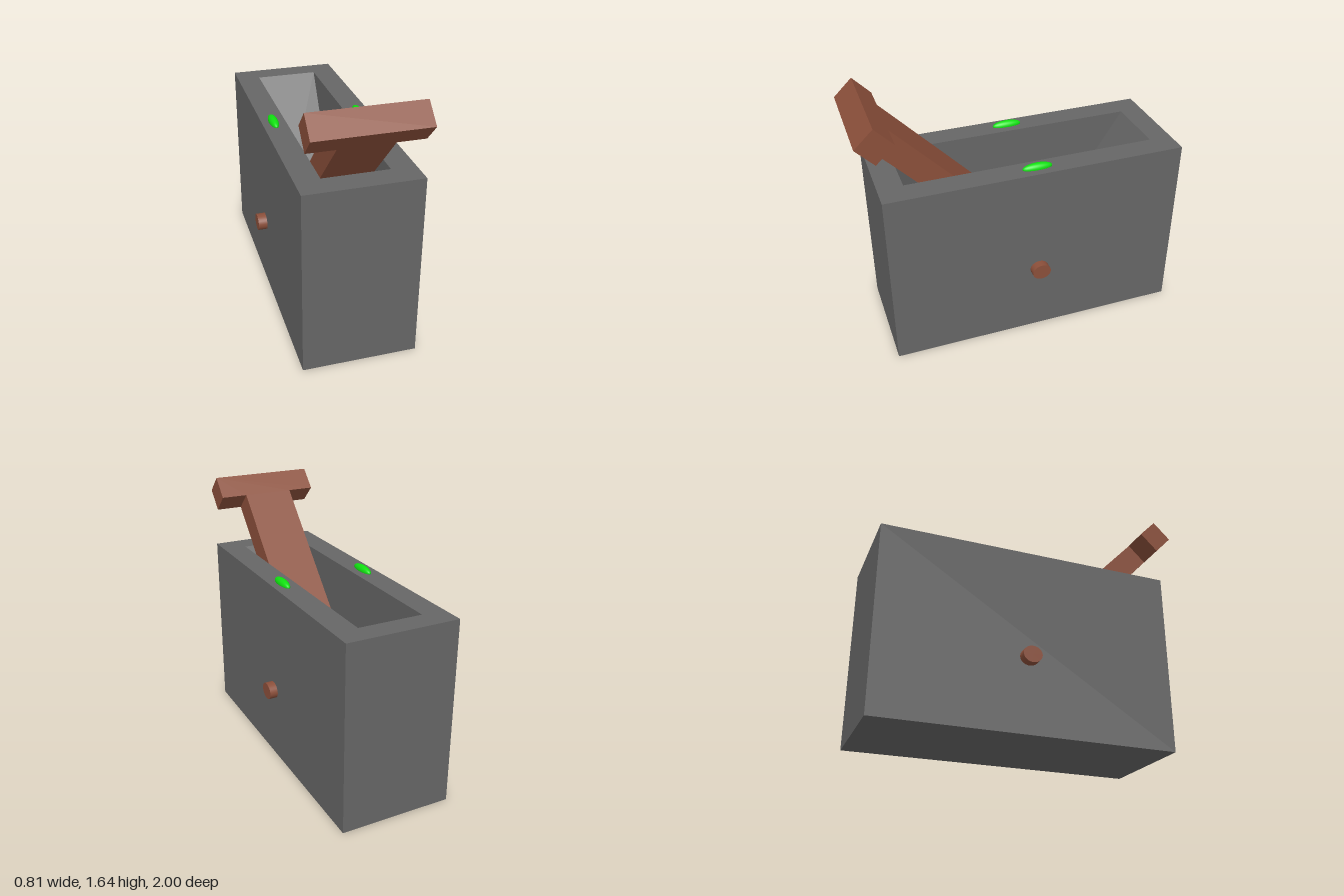
import * as THREE from 'three';

const stone = new THREE.MeshStandardMaterial({ color: 0x666666, flatShading: true });
const wood = new THREE.MeshStandardMaterial({ color: 0x8b4f3a, flatShading: true });
const pinWood = new THREE.MeshStandardMaterial({ color: 0x8b4f3a });
const green = new THREE.MeshStandardMaterial({ color: 0x10e010 });

function polygon(points) {
  return new THREE.Shape(points.map(([x, y]) => new THREE.Vector2(x, y)));
}

function extrude(shape, depth) {
  return new THREE.ExtrudeGeometry(shape, { depth, bevelEnabled: false });
}

function add(parent, name, geometry, material) {
  const mesh = new THREE.Mesh(geometry, material);
  mesh.name = name;
  parent.add(mesh);
  return mesh;
}

export function createModel() {
  const model = new THREE.Group();
  model.name = 'leverBox';
  const height = 1.18, floorY = 0.24;

  // Outer walls: a plan outline (x, -z) with the opening cut out, raised along y
  const plan = polygon([[-0.35, -0.89], [0.357, -0.89], [0.357, 1], [-0.35, 1]]);
  plan.holes.push(polygon([[-0.2, -0.735], [-0.2, 0.855], [0.205, 0.855], [0.205, -0.735]]));
  const walls = extrude(plan, height);
  walls.rotateX(-Math.PI / 2);
  add(model, 'boxWalls', walls, stone);

  // Sloping ends and floor of the cavity: a side profile (-z, y) run across x
  const profile = polygon([
    [-0.735, 0], [0.855, 0], [0.855, height], [0.255, floorY], [-0.165, floorY], [-0.735, height],
  ]);
  const bed = extrude(profile, 0.405);
  bed.rotateY(Math.PI / 2);
  bed.translate(-0.2, 0, 0);
  add(model, 'slopedCavity', bed, stone);

  // T-shaped lever leaning forward
  const shaftLength = 1.35, top = shaftLength + 0.158, thickness = 0.157;
  const tee = extrude(polygon([
    [-0.163, 0], [0.163, 0], [0.163, shaftLength], [0.333, shaftLength],
    [0.333, top], [-0.333, top], [-0.333, shaftLength], [-0.163, shaftLength],
  ]), thickness);
  tee.translate(0, 0, -thickness / 2);
  const lever = add(model, 'lever', tee, wood);
  lever.position.set(0.003, 0.5, -0.095);
  lever.rotation.x = 0.763;

  // Pivot pin through both walls, with a thicker hub inside
  for (const [name, radius, length] of [['pivotPin', 1, 0.815], ['pivotHub', 1.3, 0.405]]) {
    const geo = new THREE.CylinderGeometry(radius, radius, length, 32);
    geo.rotateZ(Math.PI / 2);
    geo.scale(1, 0.052, 0.06);
    add(model, name, geo, pinWood).position.set(0, 0.473, -0.062);
  }

  // Oval lights on the rim
  for (const side of [-1, 1]) {
    const geo = new THREE.SphereGeometry(1, 32, 16);
    geo.scale(0.029, 0.03, 0.095);
    add(model, side > 0 ? 'leftLight' : 'rightLight', geo, green)
      .position.set(0.003 + side * 0.28, 1.184, -0.063);
  }
  return model;
}
